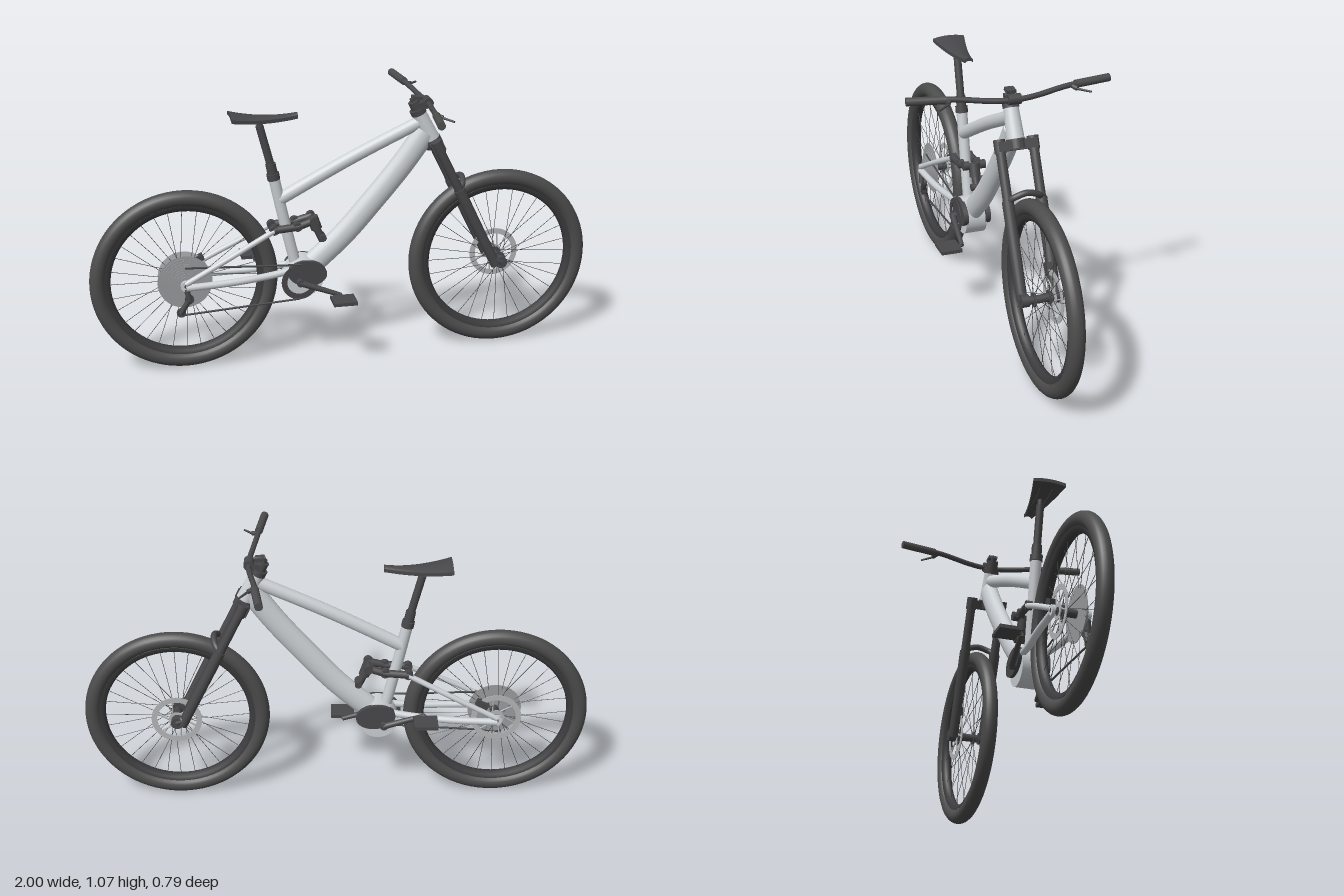
import * as THREE from 'three';

const mat = (name, color, side = THREE.FrontSide) => {
  const m = new THREE.MeshStandardMaterial({ color, side });
  m.name = name;
  return m;
};
const paint = mat('frame silver', 0xcbd0d4);
const black = mat('component black', 0x48484a);
const rubber = mat('tyre rubber', 0x4c4c4d);
const rimDark = mat('rim black', 0x3c3c3e);
const steel = mat('cassette steel', 0x9a9c9e);
const rotorMetal = mat('rotor metal', 0xb4b6b8);
const V = (x, y, z = 0) => new THREE.Vector3(x, y, z);

export function createModel() {
  const bike = new THREE.Group();
  bike.name = 'mountainBike';

  const add = (name, geo, material, parent = bike) => {
    const m = new THREE.Mesh(geo, material);
    m.name = name;
    parent.add(m);
    return m;
  };
  // Straight round bar from a to b, with optional taper
  const bar = (name, a, b, r, material, parent = bike, r2 = r, seg = 16) => {
    const m = add(name, new THREE.CylinderGeometry(r2, r, a.distanceTo(b), seg), material, parent);
    m.position.copy(a).lerp(b, 0.5);
    m.quaternion.setFromUnitVectors(V(0, 1, 0), b.clone().sub(a).normalize());
    return m;
  };
  const tube = (name, pts, r, material, parent = bike, sz = 1) => {
    const g = new THREE.TubeGeometry(new THREE.CatmullRomCurve3(pts), 32, r, 18, false);
    return add(name, g.scale(1, 1, sz), material, parent);
  };
  const disc = (name, x, y, z, r, depth, material, parent = bike, seg = 40) => {
    const m = add(name, new THREE.CylinderGeometry(r, r, depth, seg).rotateX(Math.PI / 2), material, parent);
    m.position.set(x, y, z);
    return m;
  };
  const box = (name, x, y, z, w, h, d, material, tilt = 0, parent = bike) => {
    const m = add(name, new THREE.BoxGeometry(w, h, d), material, parent);
    m.position.set(x, y, z);
    m.rotation.z = tilt;
    return m;
  };
  // Flat outline in the side plane, centred on z
  const plate = (name, shape, z, depth, material, parent = bike) => {
    const g = new THREE.ExtrudeGeometry(shape, { depth, bevelEnabled: false, curveSegments: 28 });
    return add(name, g.translate(0, 0, z - depth / 2), material, parent);
  };
  const ring = (R, r) => {
    const s = new THREE.Shape().absarc(0, 0, R, 0, Math.PI * 2);
    s.holes.push(new THREE.Path().absarc(0, 0, r, 0, Math.PI * 2, true));
    return s;
  };

  // Wheels: tyre, rim, hub, crossed spokes, brake rotor
  const wheel = (name, x) => {
    const w = new THREE.Group();
    w.name = name;
    w.position.set(x, 0.367, 0);
    bike.add(w);
    add('tyre', new THREE.TorusGeometry(0.336, 0.031, 20, 80), rubber, w);
    const rim = [[0.31, -0.02], [0.295, -0.018], [0.286, -0.008], [0.286, 0.008], [0.295, 0.018], [0.31, 0.02]]
      .map(([r, z]) => new THREE.Vector2(r, z));
    add('rim', new THREE.LatheGeometry(rim, 72).rotateX(Math.PI / 2), mat_rim, w);
    disc('hub', 0, 0, 0, 0.016, 0.1, black, w, 20);
    [-1, 1].forEach(s => disc('hubFlange', 0, 0, s * 0.03, 0.027, 0.006, black, w, 24));
    disc('axle', 0, 0, 0, 0.008, 0.15, black, w, 12);
    for (let i = 0; i < 32; i++) {
      const a = i / 32 * Math.PI * 2, s = i % 2 ? 1 : -1, h = a + (i % 4 < 2 ? 0.5 : -0.5);
      bar('spoke', V(Math.cos(h) * 0.025, Math.sin(h) * 0.025, s * 0.03),
        V(Math.cos(a) * 0.29, Math.sin(a) * 0.29, s * 0.004), 0.0011, black, w, 0.0011, 5);
    }
    const rz = -0.046;
    plate('brakeRotor', ring(0.1, 0.078), rz, 0.003, rotorMetal, w);
    plate('rotorCentre', ring(0.032, 0.016), rz, 0.004, rotorMetal, w);
    for (let i = 0; i < 6; i++) {
      const a = i * Math.PI / 3;
      bar('rotorArm', V(Math.cos(a) * 0.03, Math.sin(a) * 0.03, rz),
        V(Math.cos(a + 0.35) * 0.08, Math.sin(a + 0.35) * 0.08, rz), 0.003, rotorMetal, w, 0.003, 6);
    }
    return w;
  };
  const mat_rim = rimDark;
  rimDark.side = THREE.DoubleSide;
  const rear = wheel('rearWheel', -0.633);
  wheel('frontWheel', 0.633);
  // Cassette of shrinking sprockets
  for (let i = 0; i < 9; i++) disc('sprocket', 0, 0, 0.024 + i * 0.004, 0.107 - i * 0.0092, 0.0025, steel, rear);
  disc('cassetteCore', 0, 0, 0.04, 0.03, 0.034, steel, rear);

  // Main frame
  const axis = y => V(0.36 - (y - 0.86) * 0.49, y);
  bar('headTube', axis(0.872), axis(0.992), 0.034, paint, bike, 0.028, 28);
  tube('downTube', [V(0.325, 0.91), V(0.235, 0.785), V(0.115, 0.64), V(0, 0.51), V(-0.12, 0.40)], 0.047, paint, bike, 0.73);
  tube('topTube', [V(0.3, 0.95), V(0.03, 0.822), V(-0.255, 0.672)], 0.026, paint, bike, 0.9);
  tube('seatTube', [V(-0.275, 0.765), V(-0.24, 0.6), V(-0.19, 0.38)], 0.022, paint);
  disc('motorShell', -0.165, 0.352, 0, 0.077, 0.085, paint);

  // Motor, chainring, cranks and pedals
  [-1, 1].forEach(s => {
    const cover = disc('motorCover', -0.155, 0.374, s * 0.047, 0.052, 0.02, black);
    cover.scale.set(1.5, 1, 1);
    cover.rotation.z = -0.12;
    const p = V(-0.187 + s * 0.16, 0.343 - s * 0.058, s * 0.085);
    bar('crankArm', V(-0.187, 0.343, s * 0.07), p, 0.013, black, bike, 0.009);
    bar('pedalAxle', p, V(p.x, p.y, s * 0.11), 0.006, black);
    box('pedal', p.x, p.y, s * 0.14, 0.094, 0.014, 0.086, black);
  });
  disc('crankAxle', -0.187, 0.343, 0, 0.014, 0.16, black);
  plate('chainring', ring(0.072, 0.05), 0.058, 0.004, black).position.set(-0.187, 0.343, 0);

  // Rear triangle, linkage and shock
  [-1, 1].forEach(s => {
    tube('chainStay', [V(-0.635, 0.358, s * 0.068), V(-0.45, 0.364, s * 0.06), V(-0.32, 0.372, s * 0.046), V(-0.2, 0.388, s * 0.036)], 0.014, paint);
    tube('seatStay', [V(-0.635, 0.375, s * 0.07), V(-0.45, 0.472, s * 0.06), V(-0.27, 0.562, s * 0.036)], 0.011, paint);
    disc('dropout', -0.633, 0.367, s * 0.068, 0.022, 0.012, paint, bike, 20);
    bar('rockerLink', V(-0.282, 0.558, s * 0.036), V(-0.19, 0.565, s * 0.034), 0.015, black);
    bar('rockerLink', V(-0.19, 0.565, s * 0.034), V(-0.122, 0.585, s * 0.028), 0.015, black);
    [[-0.282, 0.558], [-0.19, 0.567], [-0.125, 0.584]].forEach(([x, y]) => disc('pivot', x, y, s * 0.034, 0.018, 0.024, black, bike, 20));
  });
  disc('shockPin', -0.125, 0.584, 0, 0.01, 0.07, black, bike, 16);
  bar('shockBody', V(-0.125, 0.59), V(-0.108, 0.54), 0.022, black);
  bar('shockShaft', V(-0.112, 0.55), V(-0.085, 0.49), 0.015, black);
  disc('shockMount', -0.086, 0.505, 0, 0.014, 0.05, black, bike, 16);

  // Chain and derailleur
  bar('chainUpper', V(-0.633, 0.432, 0.045), V(-0.18, 0.415, 0.058), 0.004, black, bike, 0.004, 6);
  bar('chainLower', V(-0.655, 0.24, 0.055), V(-0.185, 0.272, 0.058), 0.004, black, bike, 0.004, 6);
  bar('derailleurArm', V(-0.633, 0.355, 0.066), V(-0.622, 0.305, 0.072), 0.011, black);
  bar('derailleurCage', V(-0.622, 0.31, 0.062), V(-0.656, 0.25, 0.056), 0.011, black);
  disc('jockeyWheel', -0.622, 0.306, 0.058, 0.018, 0.012, black, bike, 20);
  disc('jockeyWheel', -0.655, 0.252, 0.056, 0.018, 0.012, black, bike, 20);
  box('rearCaliper', -0.575, 0.43, -0.05, 0.05, 0.025, 0.026, black, 0.45);

  // Suspension fork
  const leg = (t, z) => V(0.362 + 0.248 * t, 0.862 - 0.508 * t, z);
  [-1, 1].forEach(s => {
    bar('stanchion', leg(-0.02, s * 0.065), leg(0.45, s * 0.065), 0.018, black);
    bar('forkLower', leg(0.35, s * 0.065), leg(1.0, s * 0.065), 0.022, black, bike, 0.02, 20);
    bar('stanchionCap', leg(-0.05, s * 0.065), leg(0.04, s * 0.065), 0.022, black);
    disc('forkDropout', 0.63, 0.367, s * 0.065, 0.024, 0.03, black, bike, 20);
    bar('dropoutBridge', leg(0.95, s * 0.065), V(0.633, 0.367, s * 0.065), 0.018, black);
  });
  box('forkCrown', 0.361, 0.862, 0, 0.05, 0.036, 0.15, black, 0.455);
  bar('crownRace', axis(0.85), axis(0.882), 0.036, black);
  tube('forkArch', [V(0.452, 0.685, 0.066), V(0.468, 0.705, 0.045), V(0.475, 0.72, 0), V(0.468, 0.705, -0.045), V(0.452, 0.685, -0.066)], 0.012, black);
  box('frontCaliper', 0.572, 0.45, -0.05, 0.028, 0.05, 0.024, black, 0.45);

  // Headset, stem and handlebar
  bar('headsetCup', axis(0.985), axis(1.005), 0.031, black);
  bar('stemClamp', axis(1.0), axis(1.035), 0.022, black);
  bar('stemCap', axis(1.03), axis(1.047), 0.01, black);
  bar('capKnob', V(0.268, 1.052), V(0.312, 1.05), 0.007, black);
  box('capTop', 0.288, 1.05, 0, 0.036, 0.013, 0.036, black, -0.1);
  box('stem', 0.308, 1.02, 0, 0.06, 0.03, 0.045, black, 0.2);
  disc('barClamp', 0.33, 1.03, 0, 0.02, 0.05, black, bike, 20);
  tube('handlebar', [V(0.285, 1.049, -0.36), V(0.303, 1.046, -0.22), V(0.322, 1.032, -0.1), V(0.33, 1.028, -0.04),
    V(0.33, 1.028, 0.04), V(0.322, 1.032, 0.1), V(0.303, 1.046, 0.22), V(0.285, 1.049, 0.36)], 0.0105, black);
  [-1, 1].forEach(s => {
    bar('grip', V(0.281, 1.05, s * 0.393), V(0.3, 1.047, s * 0.25), 0.0155, rubber);
    bar('leverMount', V(0.302, 1.044, s * 0.235), V(0.325, 1.038, s * 0.25), 0.009, black);
    bar('brakeLever', V(0.318, 1.038, s * 0.24), V(0.358, 1.032, s * 0.292), 0.005, black, bike, 0.004, 8);
  });

  // Seat post and saddle
  bar('postCollar', V(-0.274, 0.755), V(-0.279, 0.78), 0.025, black);
  bar('postLower', V(-0.276, 0.765), V(-0.287, 0.82), 0.02, black);
  bar('postUpper', V(-0.285, 0.81), V(-0.327, 0.975), 0.0155, black);
  bar('postHead', V(-0.325, 0.968), V(-0.33, 0.998), 0.011, black);
  // Saddle from a box whose vertices follow width, dip and crown rules
  const sg = new THREE.BoxGeometry(1, 1, 1, 20, 2, 10);
  const p = sg.attributes.position;
  for (let i = 0; i < p.count; i++) {
    const t = p.getX(i) + 0.5, k = p.getZ(i) * 2;
    const half = 0.016 + 0.05 * Math.pow(1 - t, 1.25);
    const top = 1.012 + 0.045 * (t - 0.6) ** 2 - 0.008 * k * k;
    p.setXYZ(i, -0.44 + 0.26 * t, top + (p.getY(i) - 0.5) * 0.014, k * half);
  }
  sg.computeVertexNormals();
  add('saddle', sg, black);
  [-1, 1].forEach(s => tube('saddleRail', [V(-0.41, 1.005, s * 0.025), V(-0.36, 0.993, s * 0.022), V(-0.3, 0.993, s * 0.02), V(-0.22, 1.003, s * 0.008)], 0.004, black));

  return bike;
}
